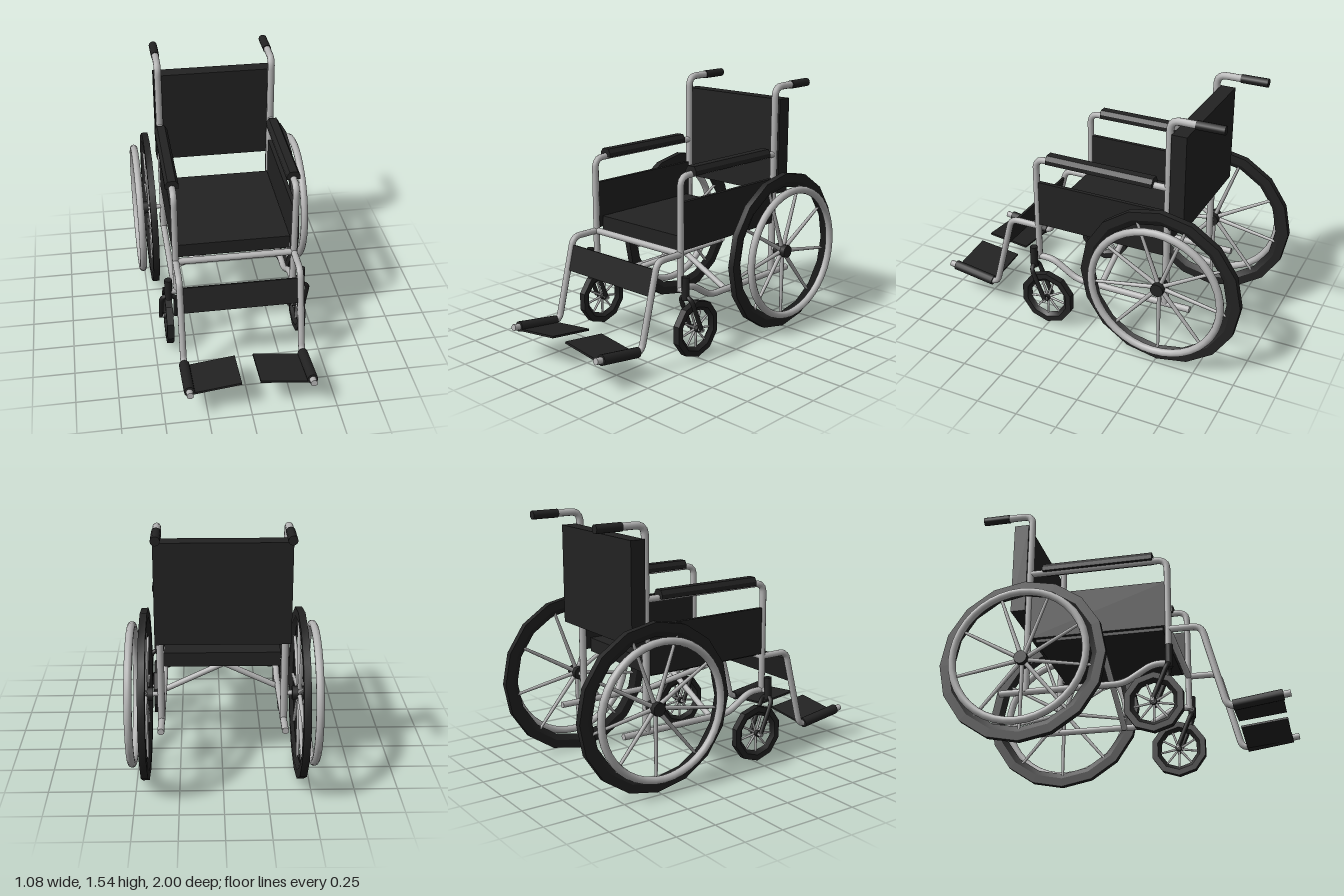
import * as THREE from 'three';
import { mergeGeometries, toCreasedNormals } from 'three/addons/utils/BufferGeometryUtils.js';

const V = (x, y, z) => new THREE.Vector3(x, y, z);
const UP = V(0, 1, 0);

// Straight rod between two points
function rod(a, b, r0, r1 = r0, sides = 12) {
  const d = b.clone().sub(a);
  const g = new THREE.CylinderGeometry(r1, r0, d.length(), sides);
  g.applyQuaternion(new THREE.Quaternion().setFromUnitVectors(UP, d.normalize()));
  const m = a.clone().add(b).multiplyScalar(0.5);
  return g.translate(m.x, m.y, m.z);
}

// Capped tube through points, with rounded bends
function bentTube(pts, r, bend = 0.05) {
  const path = new THREE.CurvePath();
  let last = pts[0];
  for (let i = 1; i < pts.length - 1; i++) {
    const p = pts[i];
    const toward = (q) => p.clone().add(q.clone().sub(p).setLength(Math.min(bend, p.distanceTo(q) * 0.45)));
    const a = toward(pts[i - 1]), b = toward(pts[i + 1]);
    path.add(new THREE.LineCurve3(last, a));
    path.add(new THREE.QuadraticBezierCurve3(a, p, b));
    last = b;
  }
  path.add(new THREE.LineCurve3(last, pts[pts.length - 1]));
  const parts = [new THREE.TubeGeometry(path, 64, r, 10, false)];
  for (const [t, sign] of [[0, -1], [1, 1]]) {
    const cap = new THREE.CircleGeometry(r, 10);
    const dir = path.getTangentAt(t).multiplyScalar(sign);
    cap.applyQuaternion(new THREE.Quaternion().setFromUnitVectors(V(0, 0, 1), dir));
    const p = path.getPointAt(t);
    parts.push(cap.translate(p.x, p.y, p.z));
  }
  return mergeGeometries(parts);
}

// Tyre ring around the x axis: pointed inside, square tread outside
function tyreRing(inner, outer, half, sides) {
  const mid = inner + (outer - inner) * 0.4;
  const profile = [[inner, 0], [mid, -half], [outer, -half], [outer, half], [mid, half], [inner, 0]]
    .map(([x, y]) => new THREE.Vector2(x, y));
  const g = new THREE.LatheGeometry(profile, sides).rotateZ(Math.PI / 2);
  return toCreasedNormals(g, 0.5);
}

// Spokes around the x axis, the first pointing straight down
function spokes(count, r0, r1, thick0, thick1) {
  const list = [];
  for (let i = 0; i < count; i++) {
    const a = (i / count) * Math.PI * 2;
    const dir = V(0, -Math.cos(a), Math.sin(a));
    list.push(rod(dir.clone().multiplyScalar(r0), dir.clone().multiplyScalar(r1), thick0, thick1, 8));
  }
  return mergeGeometries(list);
}

export function createModel() {
  const steel = new THREE.MeshStandardMaterial({ color: 0xb4b4b4 });
  steel.name = 'steel grey';
  const black = new THREE.MeshStandardMaterial({ color: 0x222222 });
  black.name = 'soft black';

  const model = new THREE.Group();
  model.name = 'wheelchair';
  const add = (name, geo, mat, parent = model) => {
    const m = new THREE.Mesh(geo, mat);
    m.name = name;
    parent.add(m);
    return m;
  };
  const box = (name, w, h, d, x, y, z) => {
    const m = add(name, new THREE.BoxGeometry(w, h, d), black);
    m.position.set(x, y, z);
    return m;
  };

  // Upholstery
  box('seat', 0.67, 0.085, 0.76, 0, 0.693, -0.08);
  box('backrest', 0.76, 0.59, 0.09, 0, 1.145, -0.567);
  box('calfStrap', 0.68, 0.158, 0.014, 0, 0.523, 0.555).rotation.x = -0.25;

  // Bars joining both sides
  add('frontCrossBar', rod(V(-0.355, 0.645, 0.335), V(0.355, 0.645, 0.335), 0.02), steel);
  for (const s of [-1, 1]) {
    add('crossBrace', rod(V(-s * 0.345, 0.325, -0.06 + s * 0.018), V(s * 0.345, 0.655, -0.06 + s * 0.018), 0.018), steel);
  }

  for (const s of [-1, 1]) {
    const x = s * 0.355;
    const path = (pts) => pts.map(([y, z]) => V(x, y, z));
    const side = s > 0 ? 'left' : 'right';

    // Side frame tubes
    add(side + 'ArmTube', bentTube(path([[0.42, 0.335], [1.1, 0.335], [1.1, -0.505]]), 0.02, 0.06), steel);
    add(side + 'BackPost', bentTube(path([[0.33, -0.505], [1.515, -0.505], [1.515, -0.67]]), 0.022, 0.06), steel);
    add(side + 'LowerTube', bentTube(path([[0.435, 0.335], [0.435, 0.24], [0.333, 0.075], [0.333, -0.66]]), 0.02), steel);
    add(side + 'FootrestTube', bentTube(path([[0.645, 0.335], [0.645, 0.525], [0.143, 0.655], [0.195, 1.0]]), 0.02), steel);

    // Grip, footrest sleeve, side panel
    add(side + 'HandGrip', rod(V(x, 1.515, -0.655), V(x, 1.515, -0.82), 0.026), black);
    add(side + 'FootrestSleeve', rod(V(x, 0.15, 0.685), V(x, 0.19, 0.96), 0.031), black);
    box(side + 'SidePanel', 0.024, 0.285, 0.835, x, 0.808, -0.083);

    // Tilted footplate
    const plate = box(side + 'Footplate', 0.285, 0.012, 0.275, s * 0.195, 0.172, 0.82);
    plate.rotation.set(-0.12, 0, -s * 0.12);

    // Armrest pad with chamfered top
    const padShape = new THREE.Shape([[-0.04, 0], [0.04, 0], [0.04, 0.025], [0.024, 0.05], [-0.024, 0.05], [-0.04, 0.025]]
      .map(([a, b]) => new THREE.Vector2(a, b)));
    const pad = new THREE.ExtrudeGeometry(padShape, { depth: 0.67, bevelEnabled: false });
    add(side + 'ArmrestPad', pad, black).position.set(x, 1.097, -0.42);

    // Large rear wheel with hand rim
    const wheel = new THREE.Group();
    wheel.name = side + 'RearWheel';
    wheel.position.set(s * 0.444, 0.498, -0.502);
    model.add(wheel);
    add('tyre', tyreRing(0.41, 0.497, 0.02, 16), black, wheel);
    add('spokes', spokes(9, 0.02, 0.435, 0.014, 0.009), steel, wheel);
    add('hub', rod(V(-0.043, 0, 0), V(0.043, 0, 0), 0.04), black, wheel);
    add('axle', rod(V(-s * 0.1, 0, 0), V(0, 0, 0), 0.014), steel, wheel);
    add('handRim', new THREE.TorusGeometry(0.398, 0.023, 10, 40).rotateY(Math.PI / 2), steel, wheel)
      .position.x = s * 0.076;

    // Small front caster wheel
    const caster = new THREE.Group();
    caster.name = side + 'Caster';
    caster.position.set(s * 0.405, 0.185, 0.257);
    model.add(caster);
    add('tyre', tyreRing(0.115, 0.174, 0.021, 10).rotateX(Math.PI / 2), black, caster);
    add('spokes', spokes(9, 0.01, 0.13, 0.008, 0.006), steel, caster);
    add('hub', rod(V(-0.028, 0, 0), V(0.028, 0, 0), 0.02), black, caster);
    add('axle', rod(V(-0.058, 0, 0), V(0.058, 0, 0), 0.012), steel, caster);

    // Caster fork and stem
    for (const k of [-1, 1]) {
      add('forkProng', bentTube([V(0, 0.225, 0.088), V(k * 0.045, 0.2, 0.083), V(k * 0.045, 0, 0)], 0.014, 0.03), black, caster);
    }
    add('stem', rod(V(0, 0.2, 0.088), V(0, 0.338, 0.088), 0.023), black, caster);
    add('stemBracket', rod(V(0, 0.25, 0.088), V(-s * 0.05, 0.25, 0.083), 0.018), steel, caster);
  }
  return model;
}
